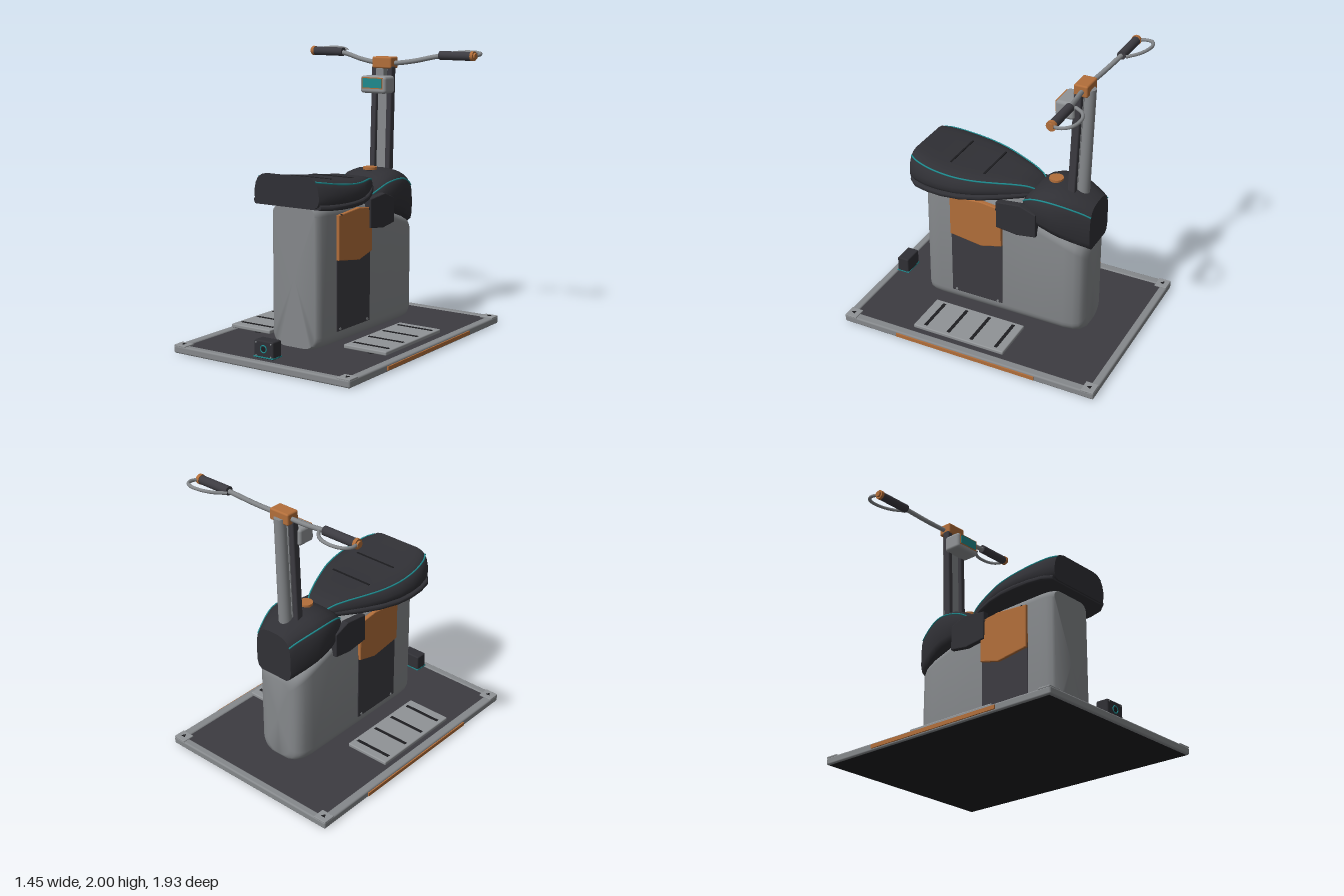
import * as THREE from 'three';
import { toCreasedNormals } from 'three/addons/utils/BufferGeometryUtils.js';
import { RoundedBoxGeometry } from 'three/addons/geometries/RoundedBoxGeometry.js';

const mat = (name, color) => { const m = new THREE.MeshStandardMaterial({ color }); m.name = name; return m; };

export function createModel() {
  const grey = mat('metal grey', 0x85888b), lightGrey = mat('plate grey', 0x909396);
  const dark = mat('charcoal', 0x3c3b41), padding = mat('seat black', 0x303035);
  const black = mat('black', 0x1d1d20), teal = mat('teal', 0x1f8a8e), copper = mat('copper', 0xb26e3a);
  const model = new THREE.Group();
  model.name = 'trainingBike';

  const add = (name, geo, material, x = 0, y = 0, z = 0, rx = 0, ry = 0, rz = 0) => {
    const m = new THREE.Mesh(geo, material);
    m.name = name;
    m.position.set(x, y, z);
    m.rotation.set(rx, ry, rz);
    model.add(m);
    return m;
  };
  const box = (w, h, d) => new THREE.BoxGeometry(w, h, d);
  const rbox = (w, h, d, r) => new RoundedBoxGeometry(w, h, d, 3, r);
  const cyl = (r, h, r2 = r) => new THREE.CylinderGeometry(r2, r, h, 24);
  const v = (p) => new THREE.Vector3(...p);
  const tube = (pts, r, n = 40) => new THREE.TubeGeometry(new THREE.CatmullRomCurve3(pts.map(v)), n, r, 8);

  // Skin over rings of [x, y, z], counter-clockwise from +z, ordered from +z to -z
  const loft = (rings, crease = 0.6) => {
    const n = rings[0].length, pos = [], idx = [];
    rings.forEach((r) => r.forEach((p) => pos.push(...p)));
    for (let i = 0; i < rings.length - 1; i++) for (let j = 0; j < n; j++) {
      const a = i * n + j, b = i * n + (j + 1) % n, c = b + n, d = a + n;
      idx.push(a, d, c, a, c, b);
    }
    [0, rings.length - 1].forEach((k) => {
      const c = pos.length / 3, ring = rings[k];
      pos.push(0, (Math.min(...ring.map((p) => p[1])) + Math.max(...ring.map((p) => p[1]))) / 2, ring[0][2]);
      for (let j = 0; j < n; j++) {
        const a = k * n + j, b = k * n + (j + 1) % n;
        if (k === 0) idx.push(c, a, b); else idx.push(c, b, a);
      }
    });
    const g = new THREE.BufferGeometry();
    g.setAttribute('position', new THREE.Float32BufferAttribute(pos, 3));
    g.setIndex(idx);
    return toCreasedNormals(g, crease);
  };
  // Rounded rectangle ring with its own bottom and top corner radii
  const roundRing = (z, w, y0, y1, rb, rt) => {
    const ring = [];
    [[1, y0 + rb, rb, -90], [1, y1 - rt, rt, 0], [-1, y1 - rt, rt, 90], [-1, y0 + rb, rb, 180]].forEach(([s, cy, r, start]) => {
      for (let k = 0; k <= 6; k++) {
        const a = (start + k * 15) * Math.PI / 180, rx = Math.min(r, w * 0.9);
        ring.push([s * (w - rx) + rx * Math.cos(a), cy + r * Math.sin(a), z]);
      }
    });
    return ring;
  };
  // Ring from half a profile of [width share, height share], mirrored
  const profileRing = (half, z, w, y0, y1) => {
    const right = half.map(([a, b]) => [a * w, y0 + b * (y1 - y0), z]);
    return right.concat(right.map(([x, y]) => [-x, y, z]).reverse());
  };
  // Side plate: outline in [z, y], from x0 outward by t on side s
  const sidePlate = (name, pts, x0, t, material, s, bevel = 0.006) => {
    const shape = new THREE.Shape(pts.map(([z, y]) => new THREE.Vector2(-z, y)));
    const g = new THREE.ExtrudeGeometry(shape, { depth: t, bevelEnabled: bevel > 0, bevelSize: bevel, bevelThickness: bevel, bevelOffset: -bevel, bevelSegments: 2 });
    g.translate(0, 0, -t / 2);
    g.rotateY(Math.PI / 2);
    add(name, g, material, s * (x0 + t / 2));
  };

  // Platform: underside, mat, frame rails and corner plates
  add('platformUnderside', box(1.4, 0.02, 1.9), black, 0, 0.014, 0);
  add('platformMat', box(1.34, 0.03, 1.86), dark, 0, 0.035, 0);
  [-1, 1].forEach((s) => {
    add('sideRail', rbox(0.065, 0.052, 1.93, 0.012), grey, s * 0.682, 0.032, 0);
    add('endRail', rbox(1.43, 0.052, 0.055, 0.012), grey, 0, 0.032, s * 0.94);
    add('sideStrip', box(0.012, 0.026, 1.07), copper, s * 0.718, 0.032, 0.005);
    [-1, 1].forEach((e) => {
      add('cornerPlate', rbox(0.1, 0.012, 0.09, 0.004), lightGrey, s * 0.665, 0.058, e * 0.92);
      add('cornerMark', new THREE.CylinderGeometry(0.018, 0.018, 0.004, 3), black, s * 0.665, 0.065, e * 0.92);
    });

    // Footplates
    add('footplate', rbox(0.335, 0.028, 0.7, 0.008), lightGrey, s * 0.475, 0.091, 0.09);
    [-0.19, 0, 0.18, 0.36].forEach((z) => add('footplateSlot', box(0.28, 0.006, 0.024), black, s * 0.475, 0.104, z));
    [-0.15, 0.33].forEach((z) => add('footplateMount', cyl(0.04, 0.035), black, s * 0.475, 0.064, z));
  });

  // Sensor box
  add('sensorBox', rbox(0.155, 0.12, 0.09, 0.01), padding, 0, 0.125, 0.86);
  add('sensorBand', box(0.16, 0.008, 0.096), teal, 0, 0.075, 0.86);
  add('sensorRing', new THREE.TorusGeometry(0.024, 0.004, 8, 24), teal, 0, 0.13, 0.906);
  add('sensorLens', cyl(0.016, 0.008), black, 0, 0.13, 0.905, Math.PI / 2);
  [-1, 1].forEach((s) => [0.085, 0.17].forEach((y) => add('sensorScrew', cyl(0.005, 0.006), grey, s * 0.06, y, 0.906, Math.PI / 2)));

  // Body shell
  add('body', loft([
    [0.568, 0.168, 0.065, 1.02], [0.555, 0.182, 0.06, 1.02], [0.52, 0.196, 0.058, 1.02], [0.46, 0.2, 0.056, 1.02],
    [0.12, 0.2, 0.056, 1.01], [-0.05, 0.2, 0.056, 0.965], [-0.3, 0.2, 0.056, 0.89], [-0.5, 0.2, 0.056, 0.82],
    [-0.57, 0.19, 0.057, 0.79], [-0.61, 0.17, 0.06, 0.765], [-0.633, 0.14, 0.068, 0.735], [-0.642, 0.1, 0.085, 0.7],
  ].map(([z, w, a, b]) => roundRing(z, w, a, b, 0.09, 0.06)), 0.75), grey);

  // Side panels
  [-1, 1].forEach((s) => {
    sidePlate('lowerSidePanel', [[0.365, 0.155], [-0.035, 0.155], [-0.035, 0.68], [0.365, 0.68]], 0.19, 0.012, dark, s, 0.003);
    sidePlate('upperSidePanel', [[0.365, 0.645], [0.12, 0.61], [-0.035, 0.65], [-0.035, 0.95], [0.12, 0.97], [0.365, 0.95]], 0.195, 0.022, copper, s);
    sidePlate('sideShroud', [[0, 0.81], [-0.16, 0.79], [-0.3, 0.81], [-0.3, 0.985], [-0.18, 1.03], [0, 1.01]], 0.19, 0.038, padding, s);
    [0.33, 0].forEach((z) => {
      add('panelScrew', cyl(0.009, 0.006), grey, s * 0.207, 0.17, z, 0, 0, Math.PI / 2);
      add('panelScrew', cyl(0.009, 0.016), black, s * 0.215, 0.945, z, 0, 0, Math.PI / 2);
    });
  });

  // Padded hood with piping
  const hoodHalf = [[0, 0], [0.75, 0], [0.92, 0.06], [1, 0.2], [1, 0.5], [0.98, 0.68], [0.92, 0.8], [0.78, 0.91], [0.55, 0.97], [0.25, 1], [0, 1]];
  const hood = [
    [-0.165, 0.15, 0.94, 1.035], [-0.2, 0.19, 0.92, 1.085], [-0.25, 0.212, 0.9, 1.125], [-0.32, 0.228, 0.875, 1.153], [-0.4, 0.234, 0.85, 1.165],
    [-0.47, 0.225, 0.825, 1.16], [-0.55, 0.2, 0.795, 1.138], [-0.62, 0.172, 0.77, 1.11], [-0.665, 0.153, 0.753, 1.085],
  ].map((r) => profileRing(hoodHalf, ...r));
  add('hood', loft(hood, 0.8), padding);

  // Seat cushion, skirt and piping
  const seatHalf = [[0, 0], [0.85, 0], [0.94, 0.06], [0.99, 0.25], [0.98, 0.45], [0.94, 0.68], [0.87, 0.85], [0.76, 0.95], [0.6, 1], [0.3, 1], [0, 1]];
  const seat = [
    [0.65, 0.265, 1.035, 1.238], [0.6, 0.3, 1.032, 1.228], [0.5, 0.328, 1.03, 1.208], [0.4, 0.336, 1.03, 1.192], [0.28, 0.328, 1.03, 1.178], [0.15, 0.295, 1.035, 1.167],
    [0.02, 0.237, 1.04, 1.157], [-0.1, 0.175, 1.045, 1.147], [-0.19, 0.125, 1.05, 1.128], [-0.25, 0.085, 1.055, 1.09],
  ].map((r) => profileRing(seatHalf, ...r));
  add('seatCushion', loft(seat, 0.8), padding);
  add('seatSkirt', loft([
    [0.64, 0.27, 1.025], [0.58, 0.32, 1.02], [0.48, 0.342, 1.016], [0.36, 0.347, 1.014], [0.24, 0.332, 1.015], [0.1, 0.288, 1.02],
    [-0.04, 0.22, 1.028], [-0.16, 0.15, 1.036], [-0.24, 0.095, 1.045],
  ].map(([z, w, y]) => roundRing(z, w, y, y + 0.036, 0.015, 0.015)), 0.8), padding);
  const mirrored = (k, half) => [k, 2 * half.length - 1 - k];
  mirrored(6, seatHalf).forEach((k) => add('seatPiping', tube(seat.map((r) => r[k]), 0.006), teal));
  mirrored(6, hoodHalf).forEach((k) => add('hoodPiping', tube(hood.map((r) => r[k]), 0.006), teal));
  add('seatSlot', box(0.33, 0.006, 0.014), black, 0, 1.166, 0.12, 0.08);
  add('seatSlot', box(0.33, 0.006, 0.014), black, 0, 1.19, 0.38, 0.13);

  // Adjustment knob on the hood
  add('knobStem', cyl(0.03, 0.03), black, 0, 1.155, -0.345);
  add('knob', cyl(0.05, 0.018), copper, 0, 1.168, -0.345);

  // Steering column, twin rails and clamp
  add('column', cyl(0.045, 0.8, 0.04), grey, 0, 1.5, -0.558, -0.035);
  [-1, 1].forEach((s) => add('columnRail', rbox(0.042, 0.8, 0.055, 0.01), dark, s * 0.064, 1.48, -0.503, -0.038));
  add('columnFace', box(0.08, 0.76, 0.03), grey, 0, 1.48, -0.515, -0.038);
  add('clamp', rbox(0.16, 0.082, 0.1, 0.012), copper, 0, 1.905, -0.535);

  // Display
  add('displayMount', box(0.06, 0.15, 0.07), grey, 0, 1.79, -0.5);
  add('displayCase', rbox(0.212, 0.122, 0.135, 0.022), lightGrey, 0, 1.755, -0.437);
  add('displayFrame', box(0.172, 0.08, 0.008), copper, 0, 1.767, -0.37);
  add('displayScreen', box(0.156, 0.066, 0.008), teal, 0, 1.767, -0.367);

  // Handlebar, grips, end caps and levers
  add('handlebar', tube([[-0.66, 1.966, -0.61], [-0.42, 1.96, -0.607], [-0.22, 1.92, -0.567], [-0.08, 1.902, -0.543], [0.08, 1.902, -0.543], [0.22, 1.92, -0.567], [0.42, 1.96, -0.607], [0.66, 1.966, -0.61]], 0.017, 60), grey);
  [-1, 1].forEach((s) => {
    add('grip', cyl(0.031, 0.25), dark, s * 0.535, 1.964, -0.609, 0, 0, Math.PI / 2);
    add('gripCap', cyl(0.034, 0.022), copper, s * 0.67, 1.966, -0.61, 0, 0, Math.PI / 2);
    add('gripEnd', cyl(0.022, 0.016), copper, s * 0.686, 1.966, -0.61, 0, 0, Math.PI / 2);
    add('lever', tube([[0.675, 1.966, -0.62], [0.688, 1.972, -0.67], [0.665, 1.98, -0.725], [0.61, 1.985, -0.753], [0.53, 1.985, -0.75], [0.46, 1.978, -0.715], [0.395, 1.966, -0.645]].map(([x, y, z]) => [s * x, y, z]), 0.012), grey);
  });

  return model;
}
